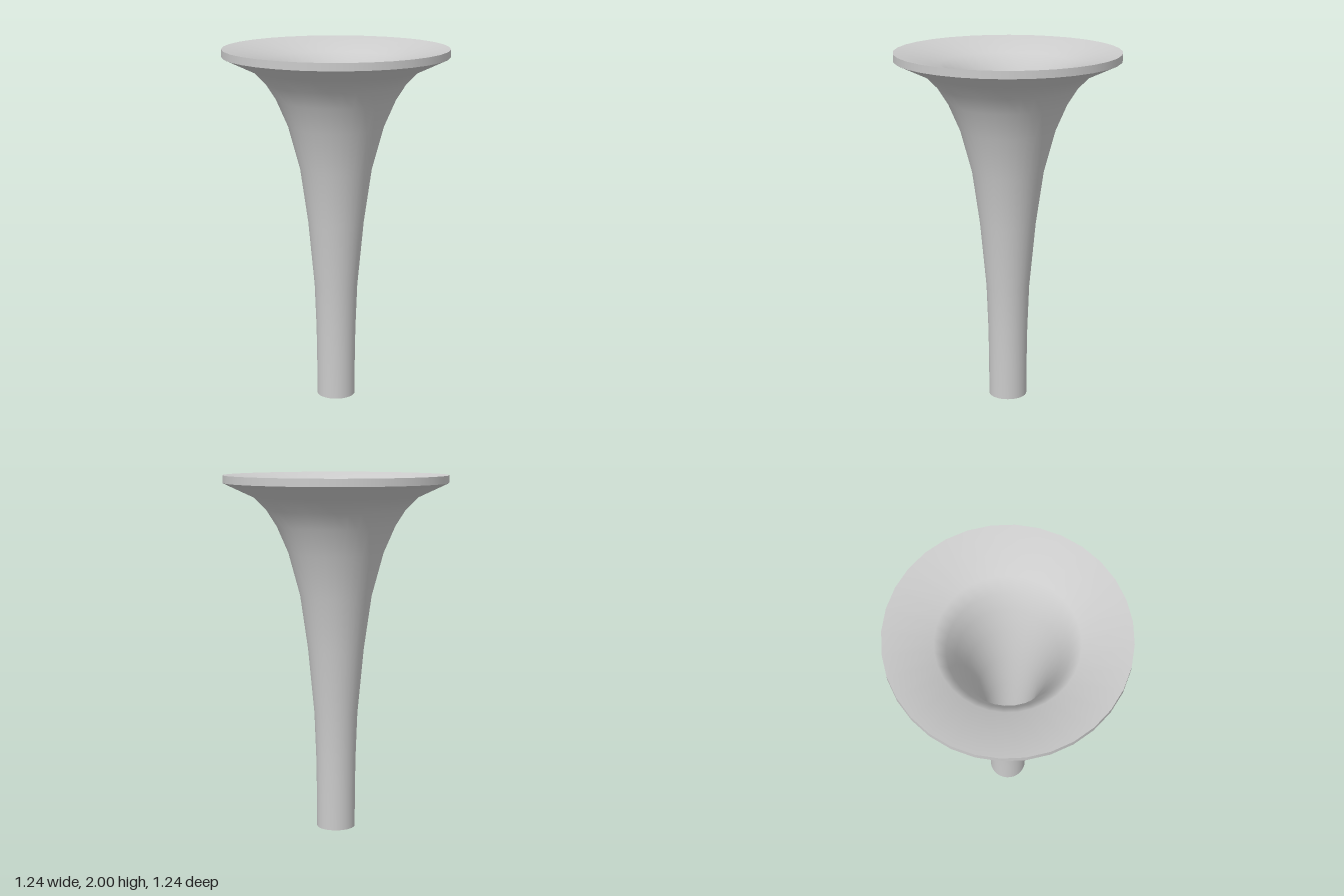
import * as THREE from 'three';

const SIDES = 32;

export function createModel() {
  const horn = new THREE.Group();
  horn.name = 'horn';
  const material = new THREE.MeshStandardMaterial({ color: 0xcccccc });

  // Each profile is its own lathe so that edges between them stay sharp
  function addTurned(name, profile) {
    const points = profile.map(([r, y]) => new THREE.Vector2(r, y));
    const geometry = new THREE.LatheGeometry(points, SIDES, Math.PI / SIDES);
    const mesh = new THREE.Mesh(geometry, material);
    mesh.name = name;
    horn.add(mesh);
  }

  // Closed foot of the tube
  addTurned('base', [[0, 0], [0.108, 0]]);

  // Outer wall, straight at the foot and flaring to the rim
  addTurned('outerWall', [
    [0.108, 0], [0.109, 0.2], [0.112, 0.4], [0.122, 0.66], [0.157, 1.03],
    [0.2, 1.33], [0.265, 1.57], [0.33, 1.72], [0.387, 1.81], [0.457, 1.88], [0.624, 1.958],
  ]);

  // Upright band around the mouth
  addTurned('rim', [[0.624, 1.958], [0.624, 2]]);

  // Inner wall, from the shallow mouth down into the tube
  addTurned('innerWall', [
    [0.624, 2], [0.368, 1.935], [0.31, 1.85], [0.265, 1.75],
    [0.212, 1.58], [0.16, 1.33], [0.125, 1.03], [0.098, 0.66], [0.09, 0.4], [0.086, 0.02],
  ]);

  // Floor inside the tube
  addTurned('floor', [[0.086, 0.02], [0, 0.02]]);

  return horn;
}
